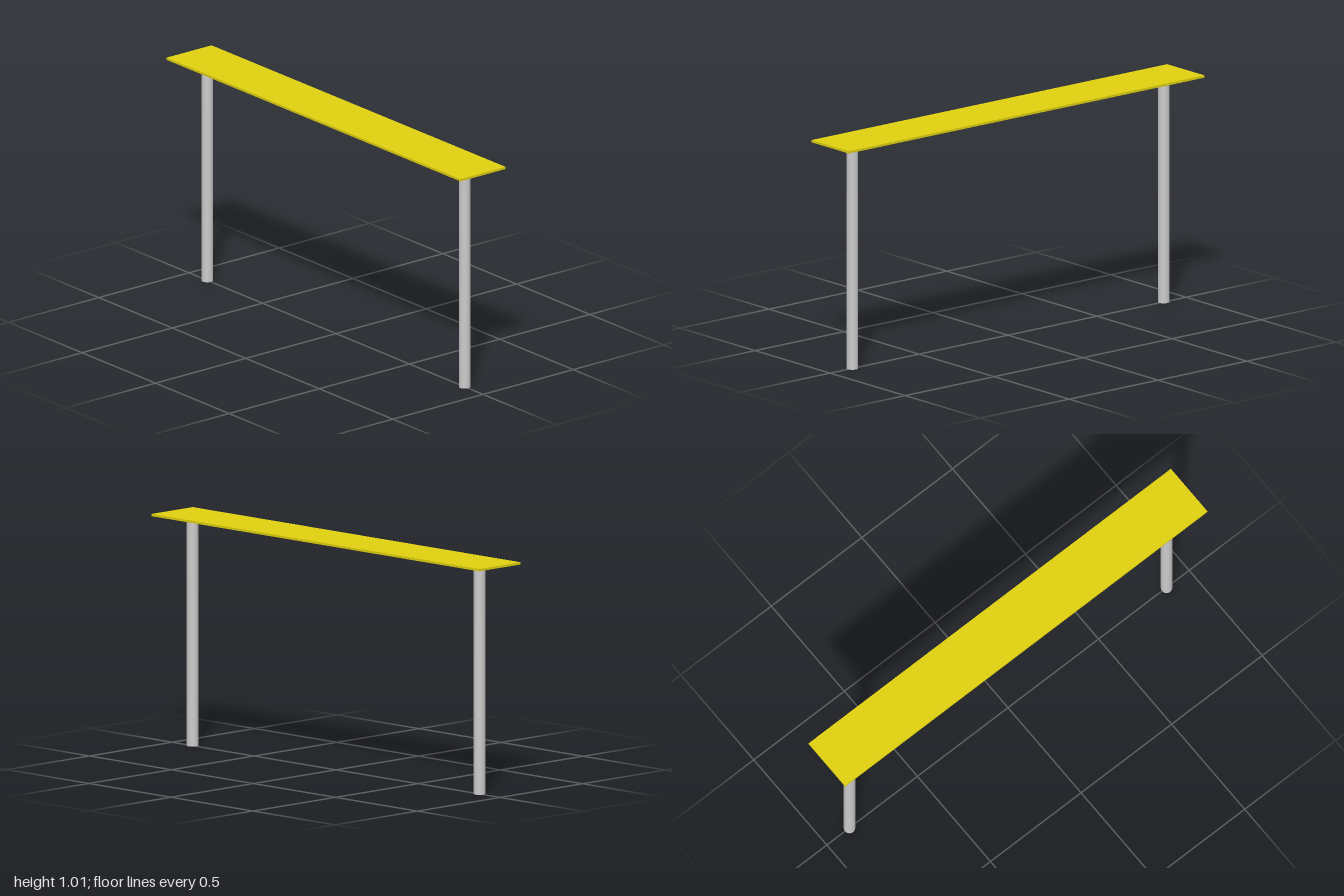
import * as THREE from 'three';

const POST_HEIGHT = 1;
const POST_RADIUS = 0.025;
const POST_X = 0.875;
const BOARD = { width: 2, thickness: 0.01, depth: 0.25 };

export function createModel() {
  const model = new THREE.Group();
  model.name = 'postSupportedBoard';

  const grey = new THREE.MeshStandardMaterial({ color: 0xcccccc });
  const yellow = new THREE.MeshStandardMaterial({ color: 0xe0d010 });

  // Thin flat board resting on the posts
  const board = new THREE.Mesh(
    new THREE.BoxGeometry(BOARD.width, BOARD.thickness, BOARD.depth), yellow);
  board.name = 'board';
  board.position.y = POST_HEIGHT + BOARD.thickness / 2;
  model.add(board);

  // Round post near each end
  const postGeometry = new THREE.CylinderGeometry(POST_RADIUS, POST_RADIUS, POST_HEIGHT, 32);
  for (const [name, side] of [['leftPost', 1], ['rightPost', -1]]) {
    const post = new THREE.Mesh(postGeometry, grey);
    post.name = name;
    post.position.set(side * POST_X, POST_HEIGHT / 2, 0);
    model.add(post);
  }

  return model;
}
